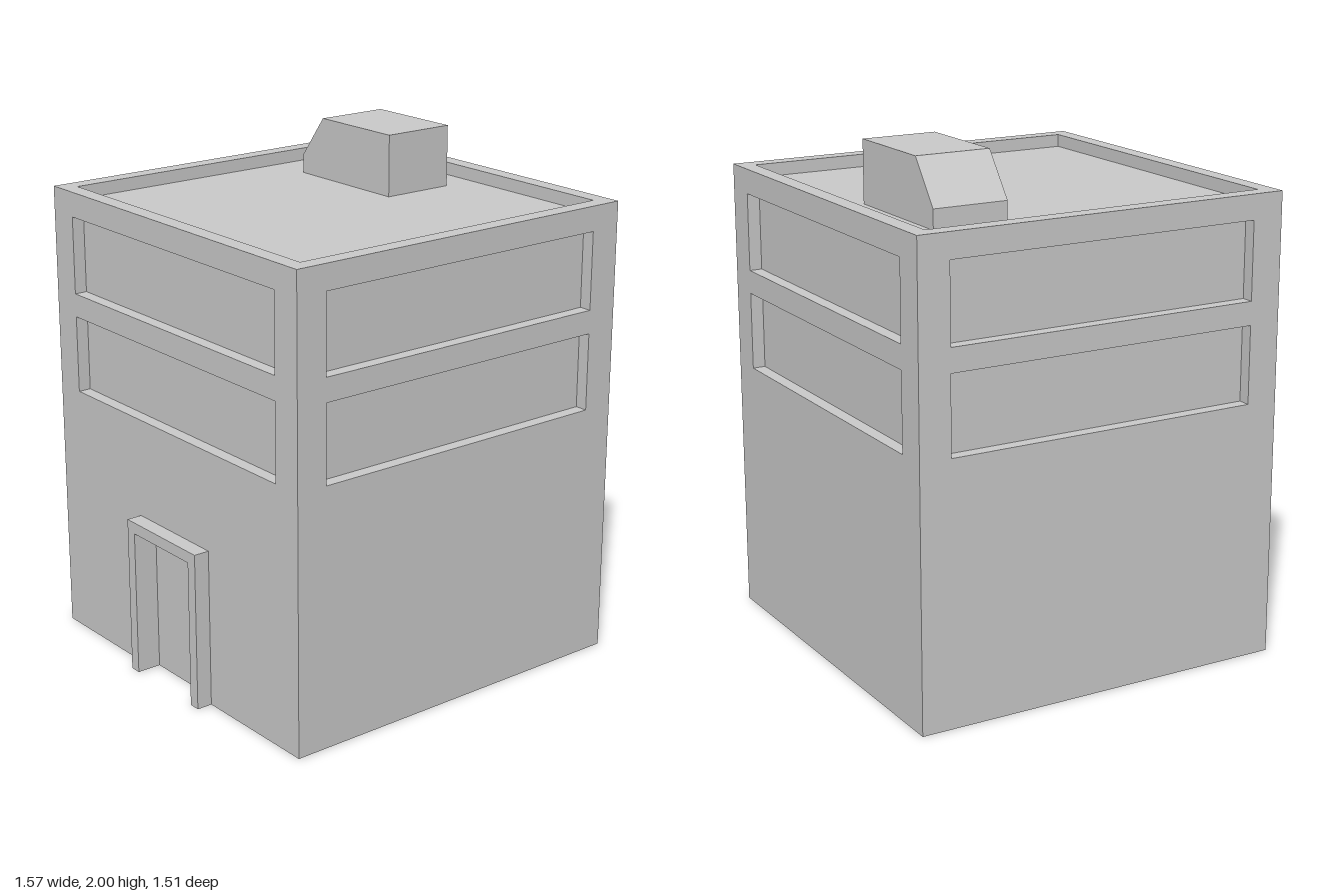
import * as THREE from 'three';

const W = 1.51, H = 1.81, CX = 0.03;   // body width, height and x offset
const ROOF = 1.76, RIM = 0.065;        // roof deck level and parapet width
const WINDOW = { w: 1.26, h: 0.303, depth: 0.05, levels: [1.015, 1.41] };
const DOOR = { w: 0.44, h: 0.625, out: 0.062, border: 0.045, inset: 0.035 };

const material = new THREE.MeshStandardMaterial({
  color: 0xcccccc, flatShading: true, side: THREE.DoubleSide,
});

function add(parent, name, geometry, x = 0, y = 0, z = 0) {
  const mesh = new THREE.Mesh(geometry, material);
  mesh.name = name;
  mesh.position.set(x, y, z);
  parent.add(mesh);
  return mesh;
}

// Thin-walled box without the listed faces (0..5 = +x -x +y -y +z -z)
function openBox(w, h, d, missing) {
  const g = new THREE.BoxGeometry(w, h, d);
  const index = Array.from(g.index.array);
  g.setIndex(index.filter((_, i) => !missing.includes(Math.floor(i / 6))));
  g.clearGroups();
  return g;
}

const polygon = (points) => new THREE.Shape(points.map(([x, y]) => new THREE.Vector2(x, y)));
const rect = (w, y0, y1) => polygon([[-w / 2, y0], [w / 2, y0], [w / 2, y1], [-w / 2, y1]]);

// Rectangle standing on the ground with a doorway cut up from its bottom edge
function archway(w, h, doorW, doorH) {
  const a = w / 2, b = doorW / 2;
  return polygon([[-a, 0], [-b, 0], [-b, doorH], [b, doorH], [b, 0], [a, 0], [a, h], [-a, h]]);
}

// One wall facing local +z, with two long recessed windows
function makeWall(name, hasDoor) {
  const wall = new THREE.Group();
  wall.name = name;
  const shape = hasDoor ? archway(W, H, DOOR.w, DOOR.h) : rect(W, 0, H);
  const { w, h, depth, levels } = WINDOW;
  for (const y of levels) {
    shape.holes.push(rect(w, y, y + h));
    add(wall, 'windowRecess', openBox(w, h, depth, [4]), 0, y + h / 2, -depth / 2);
  }
  add(wall, 'wallFace', new THREE.ShapeGeometry(shape));
  if (hasDoor) wall.add(makeDoor());
  return wall;
}

// Hollow projecting frame around an inset door
function makeDoor() {
  const door = new THREE.Group();
  door.name = 'door';
  const { w, h, out, border, inset } = DOOR;
  const iw = w - 2 * border, ih = h - border, depth = out + inset;
  add(door, 'frameSides', openBox(w, h, out, [3, 4, 5]), 0, h / 2, out / 2);
  add(door, 'frameFace', new THREE.ShapeGeometry(archway(w, h, iw, ih)), 0, 0, out);
  add(door, 'doorRecess', openBox(iw, ih, depth, [3, 4]), 0, ih / 2, out - depth / 2);
  return door;
}

export function createModel() {
  const model = new THREE.Group();
  model.name = 'building';

  // Four walls around an open-bottomed shell
  ['frontWall', 'leftWall', 'backWall', 'rightWall'].forEach((name, i) => {
    const angle = i * Math.PI / 2;
    const wall = makeWall(name, name === 'rightWall');
    wall.rotation.y = angle;
    wall.position.set(CX + Math.sin(angle) * W / 2, 0, Math.cos(angle) * W / 2);
    model.add(wall);
  });

  // Parapet rim and sunken roof deck
  const inner = W - 2 * RIM;
  const rim = rect(W, -W / 2, W / 2);
  rim.holes.push(rect(inner, -inner / 2, inner / 2));
  add(model, 'parapetTop', new THREE.ShapeGeometry(rim), CX, H, 0).rotation.x = -Math.PI / 2;
  add(model, 'roofDeck', openBox(inner, H - ROOF, inner, [2]), CX, (H + ROOF) / 2, 0);

  // Rooftop housing with a sloped back
  const profile = polygon([[0.02, ROOF], [0.02, 2], [-0.385, 2], [-0.51, 1.835], [-0.51, ROOF]]);
  const housing = new THREE.ExtrudeGeometry(profile, { depth: 0.297, bevelEnabled: false });
  add(model, 'roofHousing', housing, 0.59, 0, 0).rotation.y = -Math.PI / 2;

  return model;
}
